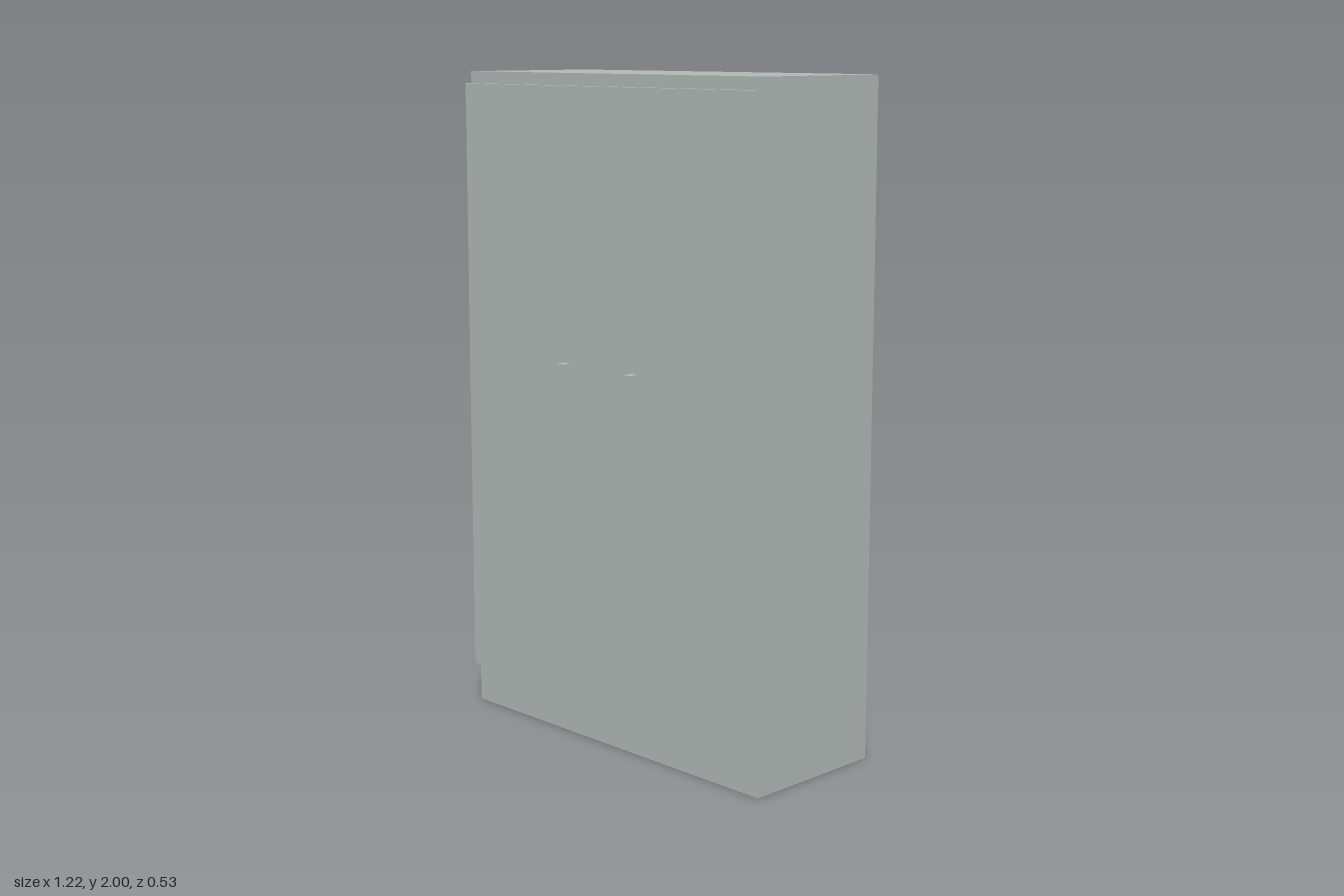
import * as THREE from 'three';

export function createModel() {
  const model = new THREE.Group();
  model.name = 'wardrobe';
  const paint = new THREE.MeshStandardMaterial({ color: 0xb3bcb8 });
  paint.name = 'grey green paint';

  // Box given by its lower and upper corners
  const addBox = (name, [x0, y0, z0], [x1, y1, z1]) => {
    const mesh = new THREE.Mesh(new THREE.BoxGeometry(x1 - x0, y1 - y0, z1 - z0), paint);
    mesh.position.set((x0 + x1) / 2, (y0 + y1) / 2, (z0 + z1) / 2);
    mesh.name = name;
    model.add(mesh);
  };

  // Cabinet body, standing on the floor
  addBox('cabinet', [-0.61, 0, -0.264], [0.61, 2, 0.202]);

  // Mirrored doors, each with an upright handle
  for (const [side, s] of [['left', 1], ['right', -1]]) {
    const span = (a, b) => (s > 0 ? [a, b] : [-b, -a]);
    const [d0, d1] = span(0.024, 0.6);
    addBox(side + 'Door', [d0, 0.13, 0.202], [d1, 1.964, 0.233]);
    const [h0, h1] = span(0.131, 0.157);
    addBox(side + 'Handle', [h0, 0.964, 0.233], [h1, 1.155, 0.264]);
  }
  return model;
}
